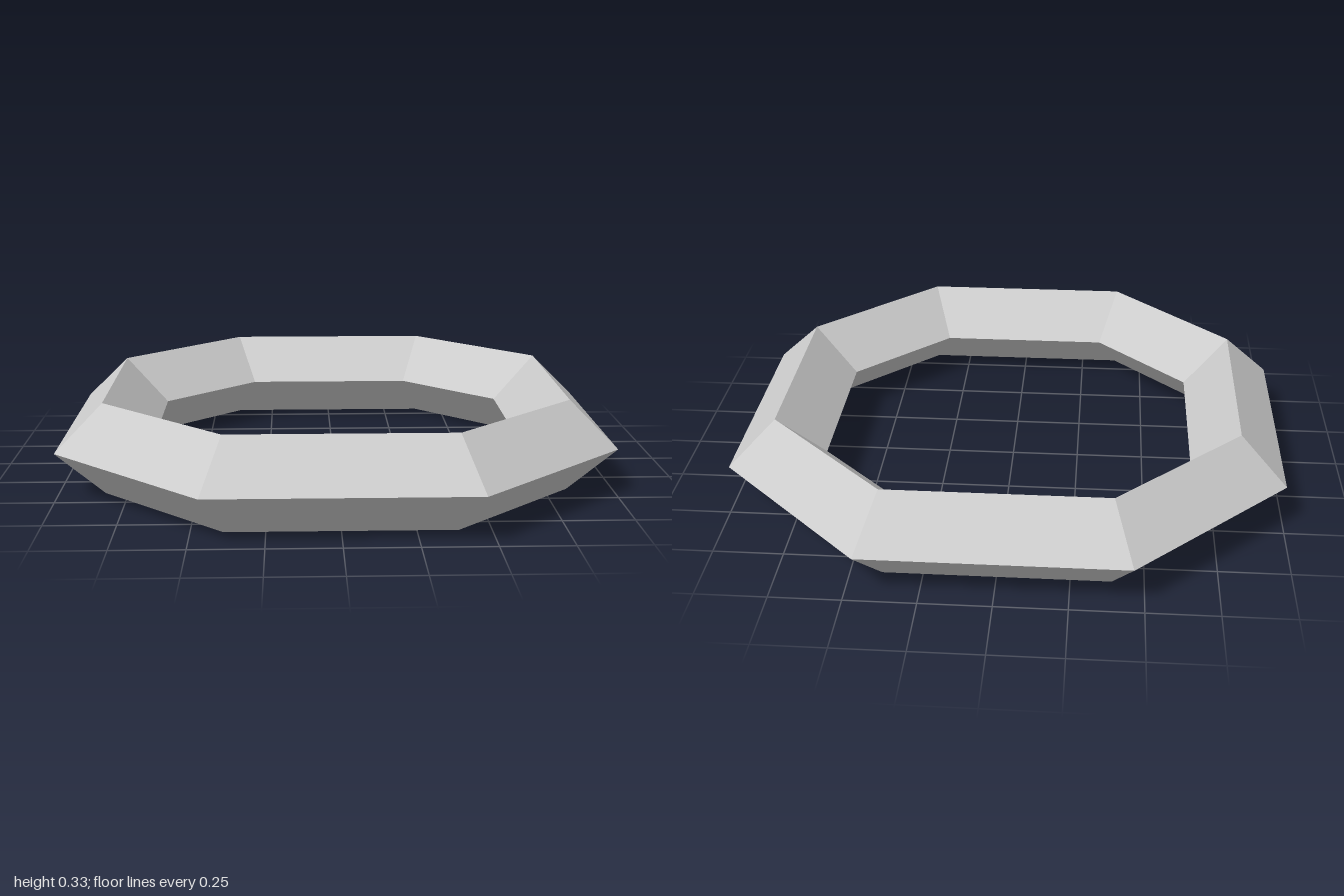
import * as THREE from 'three';

// Eight-sided ring with a diamond cross-section and mitred corners
function ringGeometry() {
  const d = 1 / 6; // half width and half height of the diamond
  const t = Math.tan(Math.PI / 8); // mitre slope at each corner
  const mid = [1 - d, 0.39];
  const profile = [[d, d], [0, 2 * d], [-d, d], [0, 0]]; // outer, top, inner, bottom

  // One diamond per corner, two corners per quarter turn
  const sections = [];
  for (let q = 0; q < 4; q++) {
    const c = Math.round(Math.cos(q * Math.PI / 2));
    const s = Math.round(Math.sin(q * Math.PI / 2));
    for (const swap of [false, true]) {
      sections.push(profile.map(([off, y]) => {
        const a = mid[0] + off, b = mid[1] + off * t;
        const [x, z] = swap ? [b, a] : [a, b];
        return [x * c - z * s, y, x * s + z * c];
      }));
    }
  }

  // Join neighbouring diamonds with flat quads
  const positions = [];
  sections.forEach((cur, k) => {
    const next = sections[(k + 1) % sections.length];
    for (let i = 0; i < 4; i++) {
      const j = (i + 1) % 4;
      positions.push(...cur[i], ...cur[j], ...next[j], ...cur[i], ...next[j], ...next[i]);
    }
  });
  const geometry = new THREE.BufferGeometry();
  geometry.setAttribute('position', new THREE.Float32BufferAttribute(positions, 3));
  geometry.computeVertexNormals();
  return geometry;
}

export function createModel() {
  const lightGrey = new THREE.MeshStandardMaterial({ color: 0xcccccc });
  lightGrey.name = 'lightGrey';

  const ring = new THREE.Mesh(ringGeometry(), lightGrey);
  ring.name = 'octagonalRing';

  const model = new THREE.Group();
  model.name = 'ringModel';
  model.add(ring);
  return model;
}
